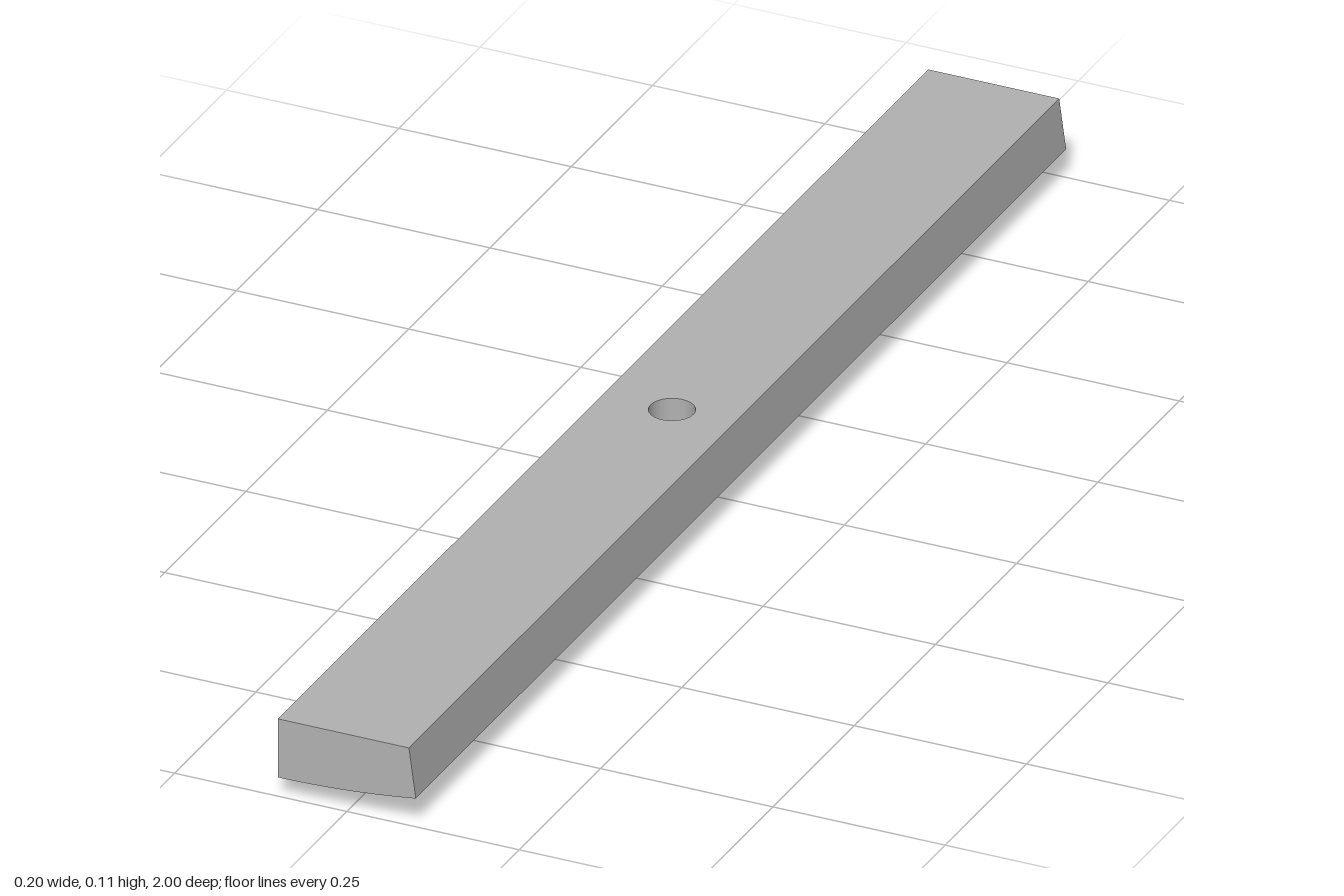
import * as THREE from 'three';

const TOP = 0.115;
const HOLE_RADIUS = 0.031;
const MID = 0.05; // half length of the drilled middle section

// Height of the gently curved underside
const underside = (x) => 0.028 + 0.35 * (x + 0.1) ** 2;

export function createModel() {
  const group = new THREE.Group();
  const grey = new THREE.MeshStandardMaterial({ color: 0xb2b2b2 });
  grey.name = 'grey';

  const add = (geometry, name) => {
    const mesh = new THREE.Mesh(geometry, grey);
    mesh.name = name;
    group.add(mesh);
  };

  const xs = Array.from({ length: 13 }, (_, i) => -0.1 + (0.2 * i) / 12);

  // Solid bar ends: the cross-section swept along z
  const profile = new THREE.Shape([
    ...xs.map((x) => new THREE.Vector2(x, underside(x))),
    new THREE.Vector2(0.09, TOP),
    new THREE.Vector2(-0.1, TOP),
  ]);
  for (const [z, name] of [[MID, 'frontBar'], [-1, 'backBar']]) {
    const end = new THREE.ExtrudeGeometry(profile, { depth: 1 - MID, bevelEnabled: false });
    end.translate(0, 0, z);
    add(end, name);
  }

  // Middle section with the round through hole, shaped to the same cross-section
  const plan = new THREE.Shape([
    ...xs.map((x) => new THREE.Vector2(x, -MID)),
    ...[...xs].reverse().map((x) => new THREE.Vector2(x, MID)),
  ]);
  plan.holes.push(new THREE.Path().absarc(0, 0, HOLE_RADIUS, 0, Math.PI * 2, true));
  const middle = new THREE.ExtrudeGeometry(plan, { depth: 1, bevelEnabled: false, curveSegments: 24 });
  middle.rotateX(-Math.PI / 2);
  const p = middle.attributes.position;
  for (let i = 0; i < p.count; i++) {
    const x = p.getX(i);
    const isTop = p.getY(i) > 0.5;
    p.setY(i, isTop ? TOP : underside(x));
    if (isTop && x > 0.09) p.setX(i, 0.09);
  }
  middle.computeVertexNormals();
  add(middle, 'drilledMiddle');

  // Raised ribs that follow the curved underside
  const addRib = (x0, x1, z0, z1) => {
    const rib = new THREE.BoxGeometry(x1 - x0, 1, z1 - z0, 3, 1, 1);
    rib.translate((x0 + x1) / 2, 0, (z0 + z1) / 2);
    const v = rib.attributes.position;
    for (let i = 0; i < v.count; i++) {
      v.setY(i, underside(v.getX(i)) + (v.getY(i) > 0 ? 0.002 : -0.028));
    }
    rib.computeVertexNormals();
    add(rib, 'undersideRib');
  };

  // Each group: z range, then the x centres of its ribs
  const ribGroups = [
    [0.81, 0.945, [-0.085, -0.045]],
    [0.545, 0.655, [-0.085]],
    [0.295, 0.45, [-0.085, -0.02, 0.047]],
    [0.075, 0.2, [-0.085]],
    [0.045, 0.065, [-0.085]],
    [-0.2, -0.055, [-0.085, -0.02, 0.047]],
    [-0.455, -0.34, [-0.06, 0.01]],
    [-0.67, -0.55, [-0.085, -0.02, 0.047]],
    [-0.955, -0.935, [0]],
  ];
  for (const [z0, z1, centres] of ribGroups) {
    for (const x of centres) addRib(x - 0.01, x + 0.01, z0, z1);
  }

  return group;
}
